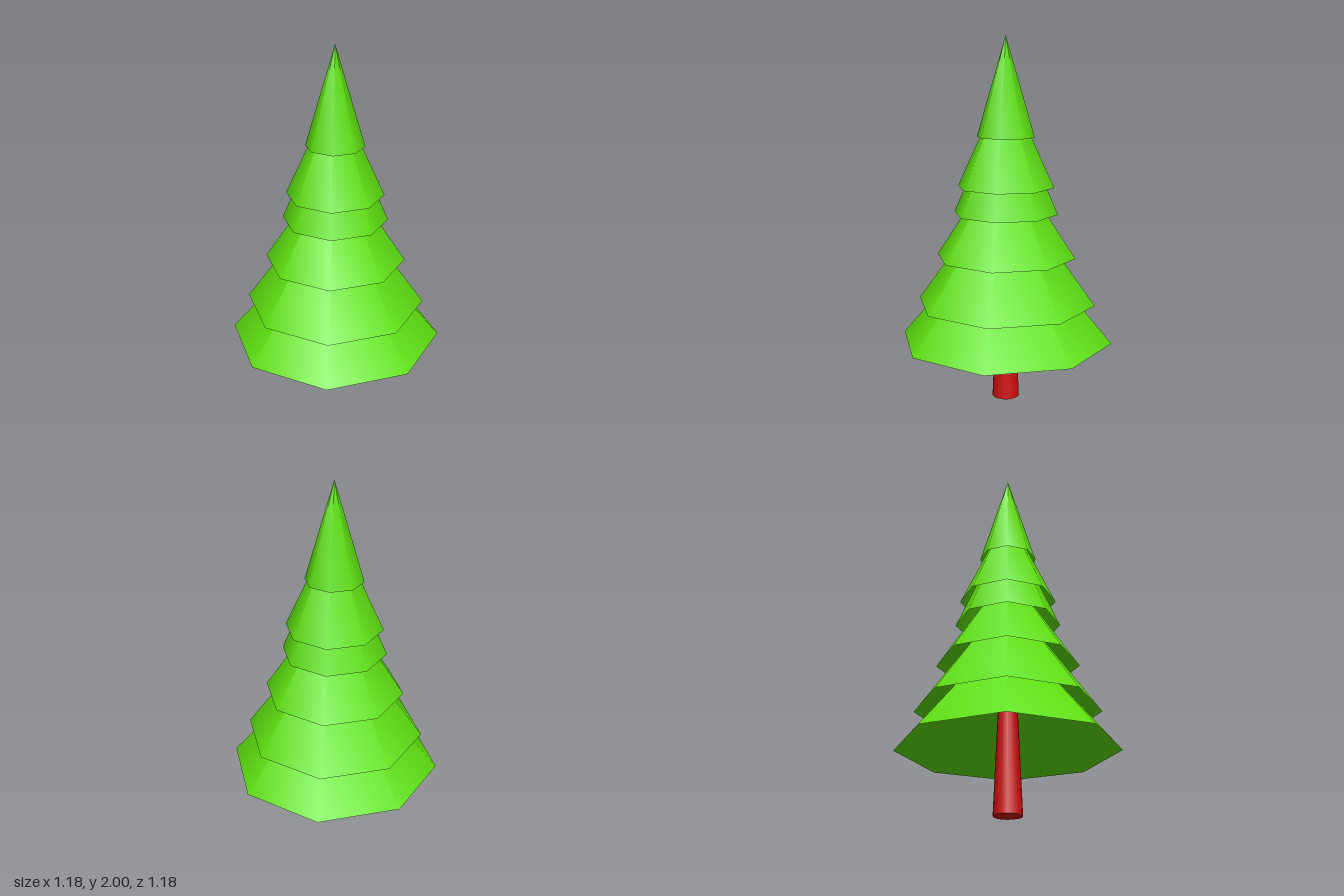
import * as THREE from 'three';

export function createModel() {
  const tree = new THREE.Group();
  tree.name = 'pineTree';

  const leaf = new THREE.MeshStandardMaterial({ color: 0x5ee010, side: THREE.DoubleSide });
  const bark = new THREE.MeshStandardMaterial({ color: 0xd01010 });

  // Foliage tiers: open eight-sided cones [rim radius, rim height, tip height]
  const tiers = [
    [0.59, 0.34, 1.03],
    [0.495, 0.55, 1.23],
    [0.385, 0.81, 1.39],
    [0.287, 1.05, 1.71],
    [0.265, 1.195, 1.77],
    [0.158, 1.465, 2.0],
  ];
  tiers.forEach(([radius, rim, tip], i) => {
    const cone = new THREE.ConeGeometry(radius, tip - rim, 8, 1, true);
    const tier = new THREE.Mesh(cone, leaf);
    tier.position.y = (rim + tip) / 2;
    tier.name = `foliageTier${i + 1}`;
    tree.add(tier);
  });

  // Tapering trunk, running up inside the foliage
  const height = 1.7;
  const trunk = new THREE.Mesh(new THREE.CylinderGeometry(0.004, 0.076, height, 16), bark);
  trunk.position.y = height / 2;
  trunk.name = 'trunk';
  tree.add(trunk);

  return tree;
}
